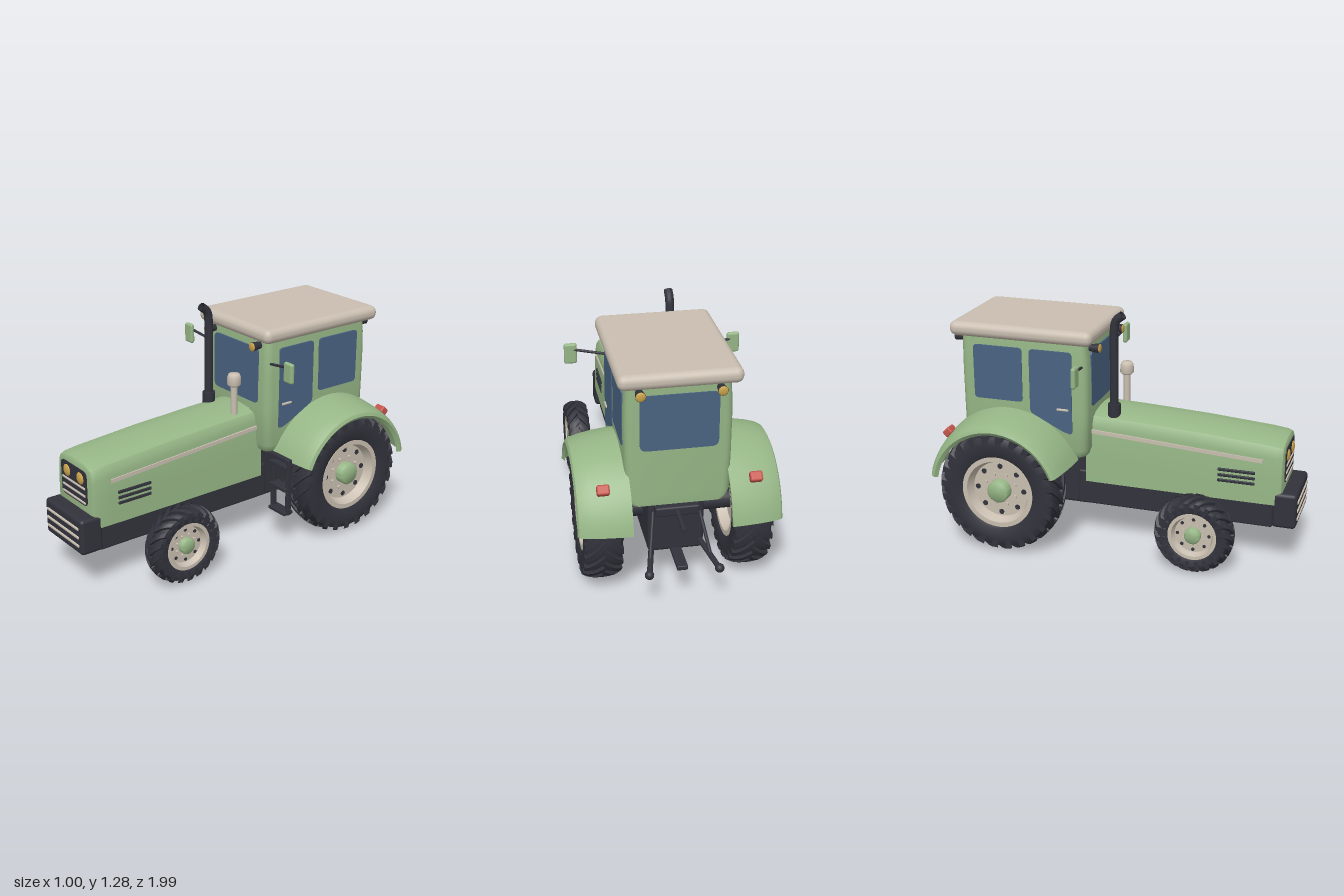
import * as THREE from 'three';
import { mergeGeometries, toCreasedNormals } from 'three/addons/utils/BufferGeometryUtils.js';
import { RoundedBoxGeometry } from 'three/addons/geometries/RoundedBoxGeometry.js';

const V = (x, y, z) => new THREE.Vector3(x, y, z);
const paint = (name, color, side = THREE.FrontSide) => {
  const m = new THREE.MeshStandardMaterial({ color, side });
  m.name = name;
  return m;
};

// Skin a list of closed rings (even point count) and cap both ends
function loft(rings, crease = 0.6) {
  const n = rings[0].length, last = (rings.length - 1) * n, pts = rings.flat(), tris = [];
  for (let i = 0; i < last; i += n) for (let j = 0; j < n; j++) {
    const a = i + j, b = i + (j + 1) % n;
    tris.push([a, b, b + n], [a, b + n, a + n]);
  }
  for (let j = 0; j < n / 2 - 1; j++) {
    const p = n - 1 - j, q = n - 2 - j;
    tris.push([j, p, q], [j, q, j + 1], [last + j, last + q, last + p], [last + j, last + j + 1, last + q]);
  }
  const volume = tris.reduce((s, [a, b, c]) => s + pts[a].dot(pts[b].clone().cross(pts[c])), 0);
  const g = new THREE.BufferGeometry().setFromPoints(pts);
  g.setIndex(tris.flatMap(([a, b, c]) => (volume < 0 ? [a, c, b] : [a, b, c])));
  return toCreasedNormals(g, crease);
}

// Thin plate with rounded corners, centred on its own thickness
function plate(points, r, depth = 0.009) {
  const s = new THREE.Shape(), n = points.length;
  points.forEach((p, i) => {
    const c = new THREE.Vector2(...p);
    const toward = q => c.clone().add(new THREE.Vector2(...q).sub(c).setLength(r));
    const a = toward(points[(i + n - 1) % n]), b = toward(points[(i + 1) % n]);
    if (i) s.lineTo(a.x, a.y); else s.moveTo(a.x, a.y);
    s.quadraticCurveTo(c.x, c.y, b.x, b.y);
  });
  s.closePath();
  return new THREE.ExtrudeGeometry(s, { depth, bevelEnabled: false, curveSegments: 5 }).translate(0, 0, -depth / 2);
}
const rect = (x0, x1, y0, y1) => [[x0, y0], [x1, y0], [x1, y1], [x0, y1]];

export function createModel() {
  const model = new THREE.Group();
  model.name = 'tractor';
  const green = paint('body green', 0x96b686), cream = paint('cream', 0xc9beb0);
  const dark = paint('dark rubber and iron', 0x32323c, THREE.DoubleSide);
  const glass = paint('blue glass', 0x4a6482), gold = paint('amber lamp', 0xc9a14a), red = paint('red lamp', 0xc4554c);

  const add = (name, geo, mat, x = 0, y = 0, z = 0, parent = model) => {
    const m = new THREE.Mesh(geo, mat);
    m.name = name;
    m.position.set(x, y, z);
    parent.add(m);
    return m;
  };
  const box = (name, mat, x0, x1, y0, y1, z0, z1, r = 0.01) => add(name,
    new RoundedBoxGeometry(x1 - x0, y1 - y0, z1 - z0, 3, r), mat, (x0 + x1) / 2, (y0 + y1) / 2, (z0 + z1) / 2);
  const rod = (name, mat, a, b, r, r2 = r) => {
    const d = b.clone().sub(a), mid = a.clone().add(b).multiplyScalar(0.5);
    const m = add(name, new THREE.CylinderGeometry(r2, r, d.length(), 20), mat, mid.x, mid.y, mid.z);
    m.quaternion.setFromUnitVectors(V(0, 1, 0), d.normalize());
    return m;
  };

  // Chassis, rear housing and axles
  box('chassis', dark, -0.15, 0.15, 0.21, 0.4, -0.2, 0.86);
  box('rearHousing', dark, -0.14, 0.14, 0.2, 0.53, -0.76, -0.14, 0.02);
  rod('rearAxle', dark, V(-0.32, 0.345, -0.546), V(0.32, 0.345, -0.546), 0.052);
  box('frontAxle', dark, -0.3, 0.3, 0.183, 0.236, 0.465, 0.518);
  box('axlePivot', dark, -0.06, 0.06, 0.19, 0.26, 0.42, 0.57);

  // Front weight block with cream bars
  box('frontBlock', dark, -0.177, 0.177, 0.225, 0.417, 0.86, 0.985, 0.02);
  for (const y of [0.274, 0.32, 0.367]) box('blockBar', cream, -0.152, 0.152, y - 0.007, y + 0.007, 0.978, 0.992, 0.004);

  // Bonnet: domed sections running from nose to cab
  const hood = [[0.907, 0.155, 0.66], [0.9, 0.168, 0.672], [0.875, 0.176, 0.681], [0.8, 0.178, 0.69],
    [0.45, 0.178, 0.717], [0.1, 0.176, 0.735], [-0.15, 0.174, 0.744]];
  add('bonnet', loft(hood.map(([z, w, top]) => {
    const half = [[w, 0.35], [w * 0.985, 0.5], [w * 0.95, top - 0.085], [w * 0.92, top - 0.05],
      [w * 0.84, top - 0.025], [w * 0.6, top - 0.008], [w * 0.2, top]];
    return [...half.map(([x, y]) => V(x, y, z)), ...half.reverse().map(([x, y]) => V(-x, y, z))];
  })), green);

  // Nose panel, headlights and grille bars
  add('nosePanel', plate(rect(-0.12, 0.12, 0.453, 0.638), 0.03), dark, 0, 0, 0.907);
  for (const y of [0.461, 0.499, 0.539]) box('grilleBar', cream, -0.108, 0.108, y + 0.001, y + 0.013, 0.905, 0.917, 0.004);
  for (const x of [-0.063, 0.063]) add('headlight', new THREE.SphereGeometry(0.032, 20, 12), gold, x, 0.59, 0.91).scale.z = 0.4;

  // Exhaust and air intake
  rod('exhaustBase', dark, V(-0.11, 0.7, -0.01), V(-0.11, 0.785, -0.01), 0.034);
  add('exhaustPipe', new THREE.TubeGeometry(new THREE.CatmullRomCurve3([V(0, 0.75, -0.01), V(0, 1, -0.01),
    V(0, 1.18, -0.01), V(0, 1.235, 0), V(0, 1.268, 0.038)]), 30, 0.023, 16), dark, -0.11);
  rod('intakePipe', cream, V(0.11, 0.7, -0.01), V(0.11, 0.9, -0.01), 0.018);
  add('intakeCap', new THREE.LatheGeometry([[0, 0.882], [0.028, 0.882], [0.037, 0.892], [0.036, 0.93], [0.029, 0.948], [0, 0.952]]
    .map(p => new THREE.Vector2(...p)), 24), cream, 0.11, 0, -0.01);

  // Cab shell: rounded rectangles stacked upward
  const cab = [[0.5, 0.228, -0.15], [0.515, 0.244, -0.13], [0.55, 0.255, -0.117], [0.75, 0.259, -0.111],
    [0.95, 0.26, -0.11], [1.06, 0.256, -0.115], [1.16, 0.248, -0.125]];
  add('cabShell', loft(cab.map(([y, w, zf]) => {
    const ring = [], r = 0.04, zr = -0.812;
    [[1, zf - r], [-1, zf - r], [-1, zr + r], [1, zr + r]].forEach(([sx, z], c) => {
      for (let k = 0; k < 5; k++) {
        const a = Math.PI / 2 * (c + k / 4);
        ring.push(V(sx * (w - r) + r * Math.cos(a), y, z + r * Math.sin(a)));
      }
    });
    return ring;
  })), green);
  box('roof', cream, -0.296, 0.296, 1.13, 1.208, -0.862, -0.076, 0.036);

  // Glazing
  add('windshield', plate(rect(-0.187, 0.187, 0.78, 1.086), 0.035), glass, 0, 0, -0.111);
  add('rearWindow', plate(rect(-0.19, 0.19, 0.8, 1.086), 0.035), glass, 0, 0, -0.813);

  // Arched mudguard crown: x against radius
  const crown = [[0.24, 0.406], [0.3, 0.403], [0.37, 0.395], [0.43, 0.384], [0.47, 0.373], [0.492, 0.362], [0.5, 0.345]];

  for (const s of [1, -1]) {
    // Door glass, side glass, handle, bonnet stripe and vents
    const sideGlass = (name, pts) => add(name, plate(pts, 0.022).rotateY(Math.PI / 2), glass, s * 0.259);
    sideGlass('doorGlass', [[0.192, 0.64], [0.245, 0.655], [0.425, 0.745], [0.425, 1.088], [0.192, 1.088]]);
    sideGlass('sideGlass', rect(0.466, 0.738, 0.795, 1.088));
    box('doorHandle', cream, s * 0.265 - 0.006, s * 0.265 + 0.006, 0.77, 0.782, -0.275, -0.21, 0.004);
    const stripe = add('bonnetStripe', new THREE.BoxGeometry(0.009, 0.02, 0.925), cream, s * 0.172, 0.611, 0.34);
    stripe.rotation.x = 0.062;
    for (const y of [0.455, 0.484, 0.514]) box('sideVent', dark, s * 0.176 - 0.006, s * 0.176 + 0.006, y - 0.008, y + 0.008, 0.57, 0.765, 0.004);

    // Mudguard and tail lamp
    const arc = [];
    for (let k = 0; k <= 28; k++) {
      const a = THREE.MathUtils.degToRad(21 + 149 * k / 28);
      const at = ([x, r]) => V(s * x, 0.35 + r * Math.sin(a), -0.546 + r * Math.cos(a));
      arc.push([...crown.map(at), ...crown.map(([x, r]) => [Math.min(x, 0.485), r - 0.018]).reverse().map(at)]);
    }
    add('mudguard', loft(arc), green);
    const tail = add('tailLamp', new RoundedBoxGeometry(0.062, 0.05, 0.04, 3, 0.01), red, s * 0.37, 0.628, -0.845);
    tail.rotation.x = 0.8;

    // Work lamps front and rear
    for (const [z, f] of [[-0.085, 1], [-0.838, -1]]) {
      rod('workLampHousing', dark, V(s * 0.192, 1.106, z - f * 0.03), V(s * 0.192, 1.106, z + f * 0.024), 0.018, 0.025);
      add('workLampLens', new THREE.SphereGeometry(0.024, 18, 10), gold, s * 0.192, 1.106, z + f * 0.024).scale.z = 0.35;
    }

    // Mirror
    rod('mirrorArm', dark, V(s * 0.245, 1.012, -0.14), V(s * 0.41, 1.04, -0.12), 0.007);
    box('mirror', green, s * 0.425 - 0.033, s * 0.425 + 0.033, 0.963, 1.072, -0.127, -0.101, 0.012);

    // Lower lift arms with ball ends
    rod('liftArm', dark, V(s * 0.11, 0.25, -0.7), V(s * 0.17, 0.215, -0.97), 0.014);
    rod('liftRod', dark, V(s * 0.11, 0.45, -0.74), V(s * 0.15, 0.23, -0.87), 0.009);
    add('liftBall', new THREE.SphereGeometry(0.023, 16, 12), dark, s * 0.172, 0.215, -0.975);
  }

  // Drawbar and top link
  box('drawbar', dark, -0.027, 0.027, 0.19, 0.215, -0.93, -0.7, 0.006);
  rod('topLink', dark, V(0, 0.45, -0.74), V(0, 0.43, -0.96), 0.012);
  box('linkBracket', dark, -0.11, 0.11, 0.42, 0.47, -0.8, -0.74);

  // Entry ladder on the left side
  for (const x of [0.265, 0.385]) box('ladderPost', dark, x - 0.01, x + 0.01, 0.19, 0.51, -0.178, -0.15, 0.004);
  for (const y of [0.2, 0.34, 0.47]) box('ladderStep', dark, 0.26, 0.39, y - 0.01, y + 0.01, -0.195, -0.133, 0.004);
  box('ladderMount', dark, 0.13, 0.39, 0.49, 0.512, -0.178, -0.15, 0.004);

  // Wheel: tyre, slanted lugs, dished rim, hub, holes and bolts
  const spin = (pts, crease) => toCreasedNormals(new THREE.LatheGeometry(pts.map(p => new THREE.Vector2(...p)), 48), crease).rotateZ(-Math.PI / 2);
  function wheel(name, s, x, y, z, R, w, rim, hubR, count) {
    const g = new THREE.Group();
    g.name = name;
    g.position.set(s * x, y, z);
    model.add(g);
    const wall = [[rim, 0.8], [rim + 0.02, 0.93], [(rim + R) / 2, 0.99], [R - 0.05, 0.96], [R - 0.03, 0.84], [R - 0.018, 0.4]];
    add('tyre', spin([...wall.map(([r, a]) => [r, -a * w]), ...wall.reverse().map(([r, a]) => [r, a * w])], 0.7), dark, 0, 0, 0, g);
    const lugs = [], pitch = Math.PI * 2 / count;
    for (let i = 0; i < count; i++) for (const h of [1, -1]) {
      const b = new THREE.BoxGeometry(1, 1, 1, 5, 1, 1), p = b.attributes.position;
      for (let k = 0; k < p.count; k++) {
        const u = h * p.getX(k) + 0.5;
        const top = R - 0.022 * u ** 3, r = p.getY(k) > 0 ? top : top - 0.05;
        const a = (i + (h > 0 ? 0 : 0.5)) * pitch - 1.15 * w / R * u + p.getZ(k) * pitch * 0.42;
        p.setXYZ(k, h * w * (1.02 * u - 0.04), r * Math.cos(a), r * Math.sin(a));
      }
      lugs.push(toCreasedNormals(b, 0.5));
    }
    add('treadLugs', mergeGeometries(lugs), dark, 0, 0, 0, g);
    const face = new THREE.Group();
    face.name = 'rimGroup';
    face.rotation.y = s > 0 ? 0 : Math.PI;
    g.add(face);
    const d = 0.35 * w;
    add('rim', spin([[0, -d], [rim * 0.8, -d], [rim * 0.9, -w * 0.87], [rim + 0.006, -w * 0.87], [rim + 0.006, w * 0.87],
      [rim * 0.9, w * 0.87], [rim * 0.8, d], [0, d]], 0.4), cream, 0, 0, 0, face);
    add('hub', spin([[hubR, d - 0.01], [hubR, w * 0.78], [hubR * 0.85, w * 0.88], [0, w * 0.88]], 0.9), green, 0, 0, 0, face);
    const disc = (label, mat, r, ring, t, turn) => {
      for (let i = 0; i < 8; i++) {
        const a = (i + turn) * Math.PI / 4;
        add(label, new THREE.CylinderGeometry(r, r, t, 10).rotateZ(Math.PI / 2), mat, d + t / 2 - 0.002, ring * Math.cos(a), ring * Math.sin(a), face);
      }
    };
    disc('rimHole', dark, rim * 0.075, rim * 0.68, 0.005, 0);
    disc('wheelBolt', cream, rim * 0.05, rim * 0.46, 0.014, 0.5);
  }
  for (const s of [1, -1]) {
    wheel('rearWheel', s, 0.37, 0.346, -0.546, 0.339, 0.097, 0.192, 0.06, 24);
    wheel('frontWheel', s, 0.338, 0.215, 0.495, 0.209, 0.063, 0.122, 0.042, 20);
  }
  return model;
}
